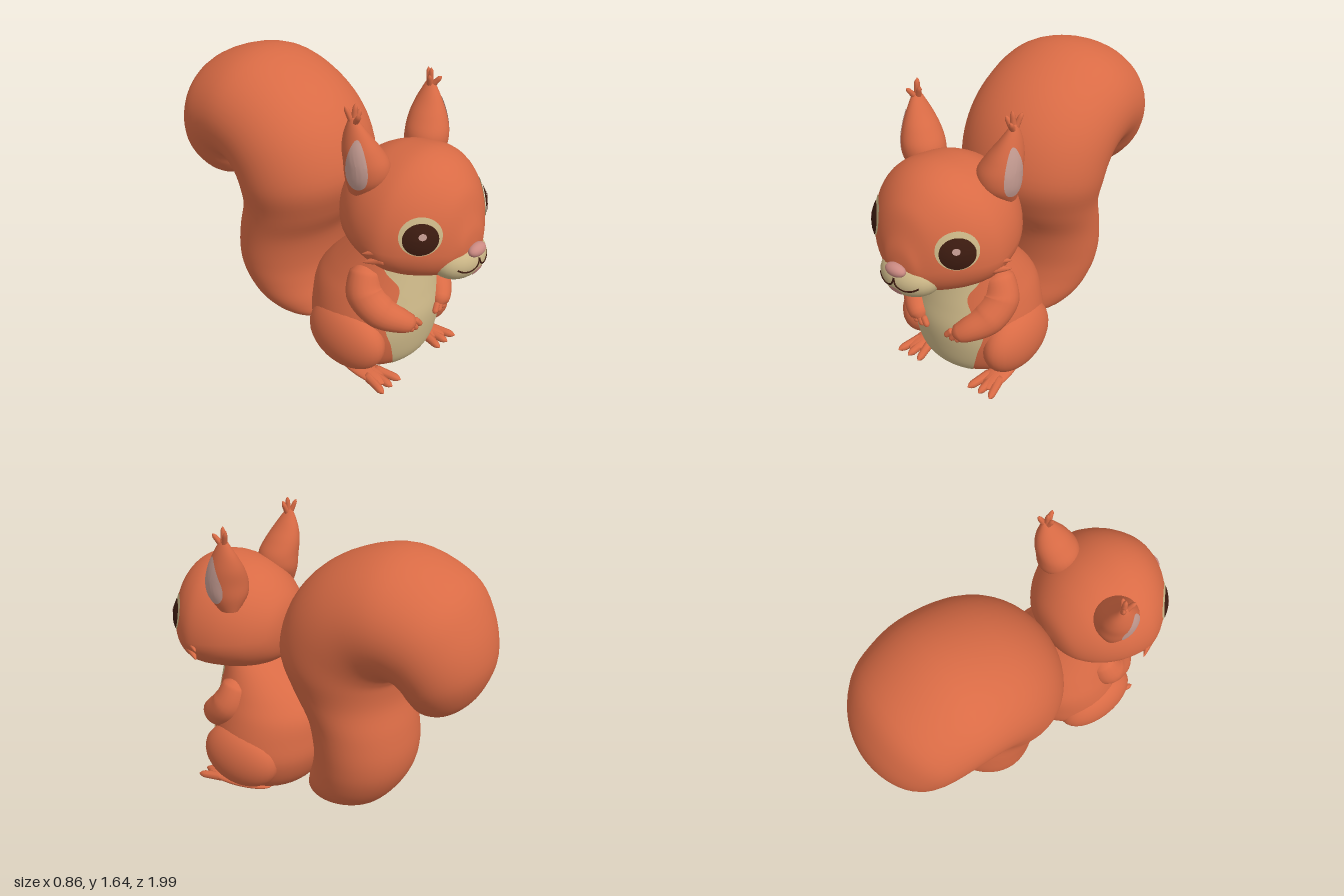
import * as THREE from 'three';
import { mergeVertices } from 'three/addons/utils/BufferGeometryUtils.js';

const mat = (name, color, side = THREE.FrontSide) => {
  const m = new THREE.MeshStandardMaterial({ color, side });
  m.name = name;
  return m;
};
const V = (x, y, z) => new THREE.Vector3(x, y, z);

// Smoothly sample a table of rows at position t (in rows)
function sampleRow(rows, t) {
  const i = Math.min(Math.floor(t), rows.length - 2), f = t - i;
  const row = k => rows[Math.max(0, Math.min(rows.length - 1, k))];
  return rows[0].map((_, c) => {
    const [a, b, d, e] = [row(i - 1)[c], row(i)[c], row(i + 1)[c], row(i + 2)[c]];
    return b + 0.5 * f * (d - a + f * (2 * a - 5 * b + 4 * d - e + f * (3 * (b - d) + e - a)));
  });
}

// Point on an oval ring. Row: [z1, y1, z2, y2, halfWidth, middle, centreX]
function ringPoint([z1, y1, z2, y2, w, m = 0.5, cx = 0], a, grow = 1) {
  const c = Math.cos(a) * grow, k = c > 0 ? m : 1 - m;
  const z = z1 + (z2 - z1) * m + (z1 - z2) * k * c;
  const y = y1 + (y2 - y1) * m + (y1 - y2) * k * c;
  return V(cx + Math.max(w, 0.001) * Math.sin(a) * grow, y, z);
}

// Surface from a grid of points; closed ones are turned to face outward
function gridGeometry(grid, closed) {
  const n = grid[0].length, pos = [], idx = [];
  grid.flat().forEach(p => pos.push(p.x, p.y, p.z));
  for (let i = 0; i < grid.length - 1; i++)
    for (let j = 0; j < (closed ? n : n - 1); j++) {
      const a = i * n + j, b = i * n + (j + 1) % n;
      idx.push(a, b, a + n, b, b + n, a + n);
    }
  const flat = grid.flat();
  let vol = 0;
  for (let k = 0; k < idx.length; k += 3)
    vol += flat[idx[k]].dot(V().crossVectors(flat[idx[k + 1]], flat[idx[k + 2]]));
  if (closed && vol < 0) idx.reverse();
  const g = new THREE.BufferGeometry();
  g.setAttribute('position', new THREE.Float32BufferAttribute(pos, 3));
  g.setIndex(idx);
  g.computeVertexNormals();
  return g;
}

function loft(rows, sides = 40, steps = 5) {
  const grid = [], n = (rows.length - 1) * steps;
  for (let i = 0; i <= n; i++) {
    const r = sampleRow(rows, i / steps);
    grid.push(Array.from({ length: sides }, (_, j) => ringPoint(r, j / sides * Math.PI * 2)));
  }
  return gridGeometry(grid, true);
}

// Tube with a radius for every path point
function limb(points, radii, n = 20, sides = 14) {
  const curve = new THREE.CatmullRomCurve3(points);
  const g = new THREE.TubeGeometry(curve, n, 1, sides), p = g.attributes.position, v = V();
  for (let i = 0; i <= n; i++) {
    const t = curve.getUtoTmapping(i / n) * (radii.length - 1), k = Math.min(Math.floor(t), radii.length - 2);
    const r = THREE.MathUtils.lerp(radii[k], radii[k + 1], t - k), c = curve.getPointAt(i / n);
    for (let j = 0; j <= sides; j++) {
      const q = i * (sides + 1) + j;
      v.fromBufferAttribute(p, q).sub(c).multiplyScalar(r).add(c);
      p.setXYZ(q, v.x, v.y, v.z);
    }
  }
  g.deleteAttribute('uv');
  g.deleteAttribute('normal');
  const merged = mergeVertices(g, 1e-5);
  merged.computeVertexNormals();
  return merged;
}
const digit = (a, b, r0, r1) =>
  limb([a, a.clone().lerp(b, 0.12), a.clone().lerp(b, 0.85), b], [0.001, r0, r1, 0.001], 10, 8);

// Thin oval laid onto a target surface, seen along the normal n
function patch(target, c, n, rx, ry, { lift = 0.004, dome = 0, taper = 0 } = {}) {
  n.normalize();
  const u = V(0, 1, 0).cross(n).normalize(), v = n.clone().cross(u);
  const g = new THREE.RingGeometry(0.001, 1, 36, 6), p = g.attributes.position, ray = new THREE.Raycaster();
  for (let i = 0; i < p.count; i++) {
    const x = p.getX(i), y = p.getY(i);
    const o = c.clone().addScaledVector(u, x * rx * (1 - taper * y)).addScaledVector(v, y * ry);
    ray.set(o.clone().addScaledVector(n, 0.3), n.clone().negate());
    const hit = ray.intersectObject(target)[0];
    const q = (hit ? hit.point : o).clone().addScaledVector(n, lift + dome * (1 - x * x - y * y));
    p.setXYZ(i, q.x, q.y, q.z);
  }
  g.computeVertexNormals();
  return g;
}

export function createModel() {
  const model = new THREE.Group();
  model.name = 'squirrel';
  const fur = mat('orange fur', 0xd96b45);
  const cream = mat('cream fur', 0xcdb888, THREE.DoubleSide);
  const dark = mat('dark brown', 0x3c1b10);
  const pink = mat('nose pink', 0xcb8a82);
  const earPink = mat('inner ear pink', 0xc79d93, THREE.DoubleSide);
  const add = (name, geo, material) => {
    const m = new THREE.Mesh(geo, material);
    m.name = name;
    model.add(m);
    return m;
  };
  const ball = (name, c, r, material) => {
    const m = add(name, new THREE.SphereGeometry(1, 32, 20), material);
    m.position.copy(c);
    m.scale.copy(r);
    return m;
  };

  // Body, stacked from the ground up; last number is the half angle of the cream front
  const bodyRows = [
    [0.36, 0.006, 0.35, 0.006, 0.004, 0.5, 0, 0.5], [0.52, 0.006, 0.19, 0.006, 0.17, 0.5, 0, 0.55],
    [0.58, 0.04, 0.11, 0.03, 0.26, 0.5, 0, 0.5], [0.64, 0.12, 0.03, 0.12, 0.33, 0.5, 0, 0.54],
    [0.67, 0.25, -0.02, 0.25, 0.37, 0.5, 0, 0.6], [0.68, 0.38, -0.02, 0.38, 0.36, 0.5, 0, 0.72],
    [0.66, 0.5, 0.0, 0.5, 0.33, 0.5, 0, 0.57], [0.64, 0.6, 0.07, 0.6, 0.29, 0.5, 0, 0.54],
    [0.62, 0.7, 0.17, 0.7, 0.25, 0.5, 0, 0.88], [0.6, 0.8, 0.28, 0.8, 0.21, 0.5, 0, 1.0]];
  add('body', loft(bodyRows), fur);
  const belly = [];
  for (let i = 5; i <= 45; i++) {
    const r = sampleRow(bodyRows, i / 5);
    belly.push(Array.from({ length: 21 }, (_, j) => ringPoint(r, (j / 10 - 1) * r[7], 1.015)));
  }
  add('belly', gridGeometry(belly, false), cream);
  const under = add('underside', new THREE.CircleGeometry(1, 32), cream);
  under.rotation.x = Math.PI / 2;
  under.position.set(0, 0.002, 0.36);
  under.scale.set(0.17, 0.17, 1);

  // Head, from the back to the snout
  const head = add('head', loft([
    [0.185, 1.01, 0.185, 1.0, 0.002, 0.5], [0.2, 1.12, 0.2, 0.9, 0.12, 0.5],
    [0.24, 1.2, 0.24, 0.82, 0.21, 0.55], [0.32, 1.28, 0.32, 0.765, 0.295, 0.58],
    [0.42, 1.335, 0.42, 0.735, 0.355, 0.6], [0.52, 1.36, 0.52, 0.722, 0.385, 0.62],
    [0.62, 1.37, 0.62, 0.715, 0.39, 0.64], [0.7, 1.355, 0.7, 0.718, 0.36, 0.64],
    [0.77, 1.32, 0.77, 0.73, 0.31, 0.63], [0.83, 1.265, 0.83, 0.75, 0.25, 0.62],
    [0.875, 1.2, 0.875, 0.78, 0.19, 0.62], [0.91, 1.1, 0.91, 0.815, 0.13, 0.6],
    [0.935, 1.02, 0.935, 0.86, 0.08, 0.5], [0.945, 0.94, 0.945, 0.93, 0.002, 0.5]], 48), fur);

  // Muzzle, nose and mouth
  const muzzle = ball('muzzle', V(0, 0.85, 0.845), V(0.17, 0.118, 0.135), cream);
  muzzle.updateMatrixWorld(true);
  ball('nose', V(0, 0.925, 0.957), V(0.06, 0.035, 0.036), pink);
  add('lowerLip', patch(muzzle, V(0, 0.808, 0.95), V(0, -0.1, 1), 0.04, 0.026), pink);
  const ray = new THREE.Raycaster();
  const onMuzzle = (x, y) => {
    ray.set(V(x, y, 2), V(0, 0, -1));
    return ray.intersectObject(muzzle)[0].point;
  };
  for (const s of [1, -1])
    add('mouthLine', new THREE.TubeGeometry(new THREE.CatmullRomCurve3(
      [[0, 0.885], [0.012, 0.85], [0.05, 0.828], [0.095, 0.832], [0.125, 0.85]]
        .map(([x, y]) => onMuzzle(x * s, y))), 20, 0.005, 6), dark);

  // Tail, curling up, over and down at the back
  add('tail', loft([
    [-0.15, 0.02, -0.2, 0.02, 0.004], [0.03, 0.065, -0.38, 0.055, 0.18],
    [0.02, 0.16, -0.49, 0.16, 0.28], [-0.02, 0.3, -0.57, 0.3, 0.33],
    [-0.03, 0.44, -0.595, 0.44, 0.35], [0.01, 0.64, -0.575, 0.6, 0.36],
    [0.11, 0.83, -0.535, 0.76, 0.38], [0.17, 1.05, -0.535, 0.88, 0.42],
    [0.07, 1.32, -0.545, 0.915, 0.43], [-0.155, 1.52, -0.555, 0.93, 0.43],
    [-0.48, 1.615, -0.565, 0.93, 0.425], [-0.8, 1.51, -0.575, 0.92, 0.4],
    [-0.945, 1.32, -0.585, 0.9, 0.365], [-1.0, 1.1, -0.6, 0.86, 0.31],
    [-0.95, 0.92, -0.64, 0.8, 0.22], [-0.86, 0.81, -0.71, 0.77, 0.11],
    [-0.79, 0.765, -0.77, 0.76, 0.004]], 48), fur);
  add('tailTuft', digit(V(0.02, 0.1, -0.33), V(-0.03, 0.075, -0.43), 0.04, 0.012), fur);

  for (const s of [1, -1]) {
    // Eyes
    const n = V(s * 0.72, 0.05, 0.69), c = V(s * 0.25, 1.04, 0.79);
    add('eyeRing', patch(head, V(s * 0.25, 1.052, 0.79), n.clone(), 0.108, 0.1), cream);
    add('eye', patch(head, c, n.clone(), 0.09, 0.083, { lift: 0.007, dome: 0.012 }), dark);
    add('eyeGlint', patch(head, V(s * 0.25, 1.063, 0.8), n.clone(), 0.02, 0.018, { lift: 0.021 }), earPink);

    // Ears with tufted tips
    const ear = add('ear', loft([
      [0.48, 1.16, 0.36, 1.16, 0.05, 0.5, s * 0.265], [0.55, 1.24, 0.33, 1.24, 0.105, 0.5, s * 0.24],
      [0.56, 1.32, 0.325, 1.32, 0.112, 0.5, s * 0.243], [0.53, 1.4, 0.325, 1.4, 0.09, 0.5, s * 0.265],
      [0.49, 1.47, 0.34, 1.47, 0.06, 0.5, s * 0.285], [0.45, 1.53, 0.365, 1.53, 0.033, 0.5, s * 0.298],
      [0.42, 1.57, 0.385, 1.57, 0.013, 0.5, s * 0.303], [0.404, 1.58, 0.4, 1.58, 0.001, 0.5, s * 0.303]], 28), fur);
    add('innerEar', patch(ear, V(s * 0.33, 1.345, 0.455), V(s * 0.9, 0.08, 0.42), 0.058, 0.135,
      { taper: 0.4 }), earPink);
    for (const [x, y, z] of [[0.265, 1.61, 0.42], [0.295, 1.64, 0.41], [0.325, 1.625, 0.37], [0.32, 1.6, 0.46]])
      add('earTuft', digit(V(s * 0.3, 1.53, 0.405), V(s * x, y, z), 0.018, 0.012), fur);

    // Cheek tufts
    for (const y of [0.95, 0.9])
      add('cheekTuft', digit(V(s * 0.34, y, 0.66), V(s * 0.405, y - 0.03, 0.56), 0.03, 0.008), fur);

    // Arms and fingers
    add('arm', limb([V(s * 0.18, 0.71, 0.42), V(s * 0.215, 0.655, 0.43), V(s * 0.25, 0.55, 0.46),
      V(s * 0.235, 0.465, 0.55), V(s * 0.175, 0.415, 0.64), V(s * 0.13, 0.385, 0.675), V(s * 0.115, 0.365, 0.685)],
    [0.001, 0.085, 0.105, 0.095, 0.068, 0.05, 0.001], 32, 20), fur);
    for (const i of [-1, 0, 1])
      add('finger', digit(V(s * (0.135 + 0.032 * i), 0.4, 0.68),
        V(s * (0.095 + 0.036 * i), 0.343 + 0.008 * Math.abs(i), 0.697), 0.02, 0.016), fur);

    // Thighs, feet and toes
    ball('thigh', V(s * 0.287, 0.245, 0.365), V(0.132, 0.195, 0.25), fur);
    const foot = ball('foot', V(s * 0.245, 0.03, 0.42), V(0.07, 0.03, 0.21), fur);
    foot.rotation.y = s * 0.15;
    for (const x of [0.18, 0.255, 0.33])
      add('toe', digit(V(s * (0.25 + (x - 0.25) * 0.4), 0.03, 0.5), V(s * x, 0.022, 0.67), 0.029, 0.021), fur);
  }
  return model;
}
